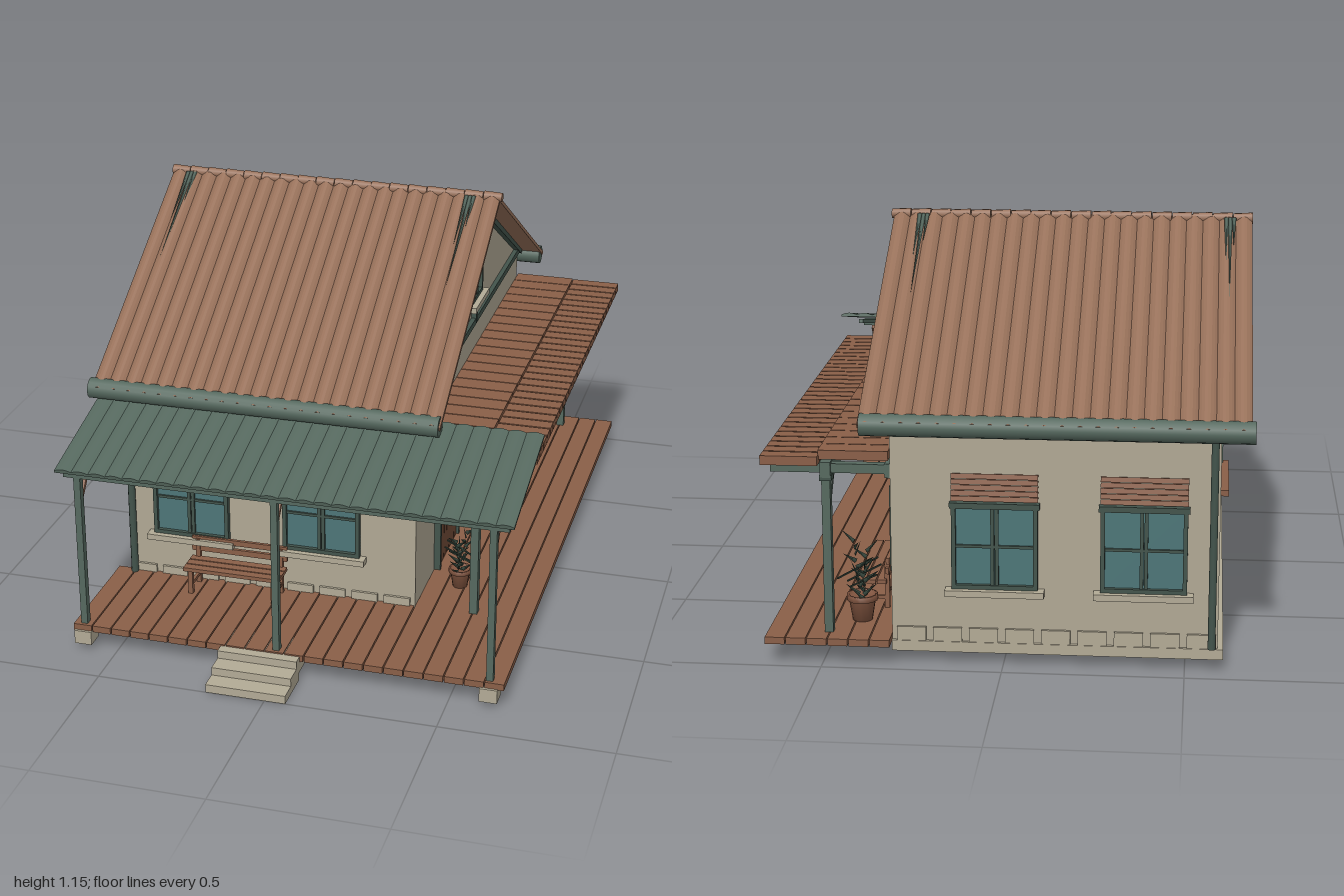
import * as THREE from 'three';

const mat = (name, color) => {
  const m = new THREE.MeshStandardMaterial({ color, side: THREE.DoubleSide });
  m.name = name;
  return m;
};
const M = {
  tile: mat('roof tile brown', 0x98715a),
  wood: mat('wood brown', 0x8a5f48),
  door: mat('door brown', 0x704a36),
  wall: mat('plaster beige', 0xb0a894),
  stone: mat('stone beige', 0xb3ab96),
  green: mat('sheet green', 0x56695f),
  trim: mat('trim dark green', 0x43544c),
  glass: mat('glass teal', 0x4d7678),
  leaf: mat('leaf green', 0x36463c),
  pot: mat('pot terracotta', 0x80543f),
};

const add = (p, name, m, geo) => {
  const o = new THREE.Mesh(geo, m);
  o.name = name;
  p.add(o);
  return o;
};
const sub = (p, name, x = 0, y = 0, z = 0, ry = 0) => {
  const g = new THREE.Group();
  g.name = name;
  g.position.set(x, y, z);
  g.rotation.y = ry;
  p.add(g);
  return g;
};
// Box given by its ranges on each axis
const box = (p, name, m, x0, x1, y0, y1, z0, z1) => {
  const o = add(p, name, m, new THREE.BoxGeometry(x1 - x0, y1 - y0, z1 - z0));
  o.position.set((x0 + x1) / 2, (y0 + y1) / 2, (z0 + z1) / 2);
  return o;
};
// Square bar between two points
const strut = (p, name, m, a, b, w) => {
  const A = new THREE.Vector3(...a), B = new THREE.Vector3(...b);
  const o = add(p, name, m, new THREE.BoxGeometry(w, w, A.distanceTo(B)));
  o.position.copy(A).add(B).multiplyScalar(0.5);
  o.lookAt(B);
  return o;
};
// Ribbed sheet, centred on x, running from z = 0 to z = len
const ribbed = (width, len, ribs, h, t) => {
  const s = new THREE.Shape(), n = ribs * 6;
  s.moveTo(-width / 2, -t);
  for (let i = 0; i <= n; i++)
    s.lineTo(-width / 2 + width * i / n, h * Math.abs(Math.sin(Math.PI * i / 6)));
  s.lineTo(width / 2, -t);
  return new THREE.ExtrudeGeometry(s, { depth: len, bevelEnabled: false });
};

// Framed window facing local +z, split in two leaves
function addWindow(p, w, h, y0, bar = true) {
  const a = w / 2, y1 = y0 + h, f = 0.012;
  box(p, 'glass', M.glass, -a, a, y0, y1, 0, 0.006);
  for (const s of [-1, 1]) {
    box(p, 'windowJamb', M.trim, s * (a - f / 2) - f / 2, s * (a - f / 2) + f / 2, y0, y1, 0, 0.018);
    box(p, 'windowMullion', M.trim, s * 0.006 - 0.005, s * 0.006 + 0.005, y0, y1, 0, 0.014);
  }
  box(p, 'windowHead', M.trim, -a - 0.005, a + 0.005, y1 - f, y1 + 0.004, 0, 0.02);
  box(p, 'windowFoot', M.trim, -a, a, y0, y0 + f, 0, 0.018);
  if (bar) box(p, 'windowBar', M.trim, -a, a, y0 + h / 2 - 0.004, y0 + h / 2 + 0.004, 0, 0.012);
  box(p, 'windowSill', M.stone, -a - 0.018, a + 0.018, y0 - 0.018, y0, 0, 0.035);
}
// Bench with its back towards local -z
function addBench(p, w) {
  const a = w / 2;
  for (let i = 0; i < 3; i++)
    box(p, 'benchSeat', M.wood, -a, a, 0.155, 0.167, 0.02 + i * 0.03, 0.046 + i * 0.03);
  box(p, 'benchBack', M.wood, -a, a, 0.185, 0.203, 0.012, 0.022);
  box(p, 'benchBack', M.wood, -a, a, 0.215, 0.232, 0.01, 0.02);
  for (const s of [-1, 1]) {
    const x = s * (a - 0.02);
    box(p, 'benchLeg', M.wood, x - 0.007, x + 0.007, 0.08, 0.16, 0.088, 0.102);
    box(p, 'benchLeg', M.wood, x - 0.007, x + 0.007, 0.08, 0.225, 0.012, 0.026);
    box(p, 'benchRail', M.wood, x - 0.005, x + 0.005, 0.105, 0.115, 0.02, 0.095);
  }
}
// Potted plant with spiralling leaves
function addPlant(p, s, height) {
  const prof = [[0, 0], [0.026, 0], [0.035, 0.055], [0.041, 0.055], [0.041, 0.07], [0.034, 0.07], [0.032, 0.06], [0, 0.06]];
  add(p, 'pot', M.pot, new THREE.LatheGeometry(prof.map(([x, y]) => new THREE.Vector2(x * s, y * s)), 14));
  for (let k = 0; k < 3; k++) {
    const a = k * 2.1, top = height * (1 - k * 0.14), lean = 0.02 * s;
    strut(p, 'stem', M.leaf, [0, 0.05 * s, 0], [Math.cos(a) * lean, top, Math.sin(a) * lean], 0.004);
    for (let i = 0; i < 9; i++) {
      const t = 0.38 + 0.62 * i / 8, b = a + i * 2.4;
      const g = new THREE.ConeGeometry(0.007, 0.045 * s, 4);
      g.scale(1, 1, 0.35);
      g.translate(0, 0.022 * s, 0);
      const l = add(p, 'leaf', M.leaf, g);
      l.position.set(Math.cos(a) * lean * t, top * t - 0.02, Math.sin(a) * lean * t);
      l.rotation.set(0, -b, -0.95, 'YXZ');
    }
  }
}

export function createModel() {
  const root = new THREE.Group();
  root.name = 'house';
  const CX = -0.14, RZ = -0.22, SLOPE = Math.PI / 6;

  // Walls with gables and plinth
  const gable = new THREE.Shape([[-0.71, 0.06], [0.71, 0.06], [0.71, 0.715], [0, 1.12], [-0.71, 0.715]].map(q => new THREE.Vector2(...q)));
  const walls = add(root, 'walls', M.wall, new THREE.ExtrudeGeometry(gable, { depth: 0.9, bevelEnabled: false }));
  walls.rotation.y = Math.PI / 2;
  walls.position.set(-0.59, 0, RZ);
  box(root, 'plinth', M.stone, -0.605, 0.31, 0.035, 0.065, -0.94, 0.505);
  for (let i = 0; i < 9; i++) for (const z of [0.49, -0.93])
    box(root, 'plinthStone', M.stone, -0.585 + i * 0.1, -0.505 + i * 0.1, 0.065, 0.105, z - 0.008, z + 0.008);

  // Gable trusses
  for (const x of [-0.595, 0.315]) {
    strut(root, 'gableTie', M.trim, [x, 0.725, 0.47], [x, 0.725, -0.91], 0.02);
    strut(root, 'kingPost', M.trim, [x, 0.72, RZ], [x, 1.11, RZ], 0.022);
    for (const s of [-1, 1]) strut(root, 'gableRafter', M.trim, [x, 0.715, RZ + s * 0.705], [x, 1.108, RZ + s * 0.01], 0.025);
  }

  // Main roof: two slopes with gutters and weathering streaks
  for (const s of [0, 1]) {
    const side = sub(root, 'roofSlope', CX, 1.137, RZ, s * Math.PI);
    const pitch = sub(side, 'roofPitch');
    pitch.rotation.x = SLOPE;
    add(pitch, 'roofTiles', M.tile, ribbed(1.06, 0.885, 22, 0.013, 0.012));
    for (const x of [-0.465, 0.44]) for (let k = 0; k < 3; k++) {
      const g = new THREE.ConeGeometry(0.007, [0.2, 0.36, 0.13][k], 4);
      g.scale(1, 1, 0.4);
      const o = add(pitch, 'streak', M.green, g);
      o.rotation.x = Math.PI / 2;
      o.position.set((s ? -x : x) + (k - 1) * 0.011, 0.013, 0.015 + [0.1, 0.18, 0.065][k]);
    }
    const gut = add(side, 'gutter', M.green, new THREE.CylinderGeometry(0.031, 0.031, 1.065, 14));
    gut.rotation.z = Math.PI / 2;
    gut.position.set(s ? 0.007 : -0.007, -0.447, 0.745);
  }
  for (let i = 0; i < 18; i++) {
    const c = add(root, 'ridgeTile', M.tile, new THREE.CylinderGeometry(0.017, 0.014, 0.057, 10));
    c.rotation.z = Math.PI / 2;
    c.position.set(-0.643 + i * 0.0595, 1.137, RZ);
  }
  for (const z of [0.505, -0.95]) {
    const d = add(root, 'downpipe', M.trim, new THREE.CylinderGeometry(0.011, 0.011, 0.61, 10));
    d.position.set(-0.573, 0.375, z);
  }

  // Front and back windows with slatted blinds
  for (const [z, ry] of [[0.49, 0], [-0.93, Math.PI]]) for (const x of [-0.385, 0.023]) {
    const w = sub(root, 'window', x, 0, z, ry);
    addWindow(w, 0.237, 0.243, 0.223);
    for (let i = 0; i < 5; i++) {
      const slat = box(w, 'blindSlat', M.wood, -0.119, 0.119, 0.473 + i * 0.016, 0.487 + i * 0.016, 0.002, 0.014);
      slat.rotation.x = -0.25;
    }
  }

  // Side window with louvred shutters
  const sw = sub(root, 'sideWindow', 0.31, 0, -0.52, Math.PI / 2);
  addWindow(sw, 0.32, 0.24, 0.23);
  for (const s of [-1, 1]) {
    const sh = sub(sw, 'shutter', s * 0.228, 0, 0.004);
    for (const e of [-1, 1]) box(sh, 'shutterStile', M.trim, e * 0.05 - 0.006, e * 0.05 + 0.006, 0.22, 0.468, 0, 0.018);
    for (let i = 0; i < 10; i++)
      box(sh, 'louvre', M.green, -0.05, 0.05, 0.222 + i * 0.0247, 0.24 + i * 0.0247, 0, 0.013).rotation.x = -0.3;
  }
  addWindow(sub(root, 'atticWindow', 0.31, 0, -0.215, Math.PI / 2), 0.152, 0.11, 0.803);

  // Plank door
  const door = sub(root, 'door', 0.31, 0, 0.12, Math.PI / 2);
  for (let i = 0; i < 7; i++)
    box(door, 'doorPlank', M.door, -0.119 + i * 0.034, -0.087 + i * 0.034, 0.08, 0.51, 0, 0.012);
  for (const s of [-1, 1]) box(door, 'doorJamb', M.trim, s * 0.126 - 0.007, s * 0.126 + 0.007, 0.08, 0.523, 0, 0.02);
  box(door, 'doorHead', M.trim, -0.133, 0.133, 0.508, 0.523, 0, 0.021);
  box(door, 'doorHandle', M.trim, 0.088, 0.098, 0.26, 0.305, 0.012, 0.026);

  // Wall lantern
  const lamp = sub(root, 'lantern', 0.31, 0, 0.35, Math.PI / 2);
  box(lamp, 'lanternArm', M.trim, -0.004, 0.004, 0.43, 0.438, 0, 0.036);
  box(lamp, 'lanternTop', M.trim, -0.022, 0.022, 0.42, 0.43, 0.014, 0.056);
  box(lamp, 'lanternGlass', M.stone, -0.013, 0.013, 0.385, 0.42, 0.022, 0.048);
  box(lamp, 'lanternBase', M.trim, -0.018, 0.018, 0.374, 0.385, 0.017, 0.053);

  // Deck boards
  for (let i = 0; i < 16; i++) {
    const x = -0.63 + i * 0.0588;
    box(root, 'frontDeckBoard', M.wood, x, x + 0.055, 0.06, 0.08, 0.49, 0.86);
  }
  for (let i = 0; i < 6; i++) {
    const x = 0.311 + i * 0.0585;
    box(root, 'sideDeckBoard', M.wood, x, x + 0.055, 0.06, 0.08, -0.985, 0.86);
  }

  // Front and side steps
  for (let i = 0; i < 3; i++)
    box(root, 'frontStep', M.stone, -0.175, 0.062, 0.003 + i * 0.024, 0.028 + i * 0.024, 0.865 - i * 0.053, 1 - i * 0.055);
  for (let i = 0; i < 3; i++)
    box(root, 'sideStep', M.stone, 0.59 - i * 0.045, 0.64 - i * 0.045, 0.004 + i * 0.016, 0.022 + i * 0.016, -0.03, 0.287);

  // Front porch: footings, posts, beam, braces, sheet roof
  for (const x of [-0.6, -0.012, 0.615]) {
    box(root, 'footing', M.stone, x - 0.026, x + 0.026, 0.02, 0.062, 0.812, 0.868);
    box(root, 'frontPost', M.green, x - 0.01, x + 0.01, 0.06, 0.56, 0.828, 0.85);
    strut(root, 'frontBrace', M.wood, [x, 0.47, 0.835], [x, 0.565, 0.755], 0.012);
    strut(root, 'porchRafter', M.green, [x, 0.563, 0.85], [x, 0.645, 0.49], 0.014);
  }
  box(root, 'frontBeam', M.green, -0.64, 0.66, 0.553, 0.574, 0.828, 0.852);
  const porch = add(root, 'porchRoof', M.green, ribbed(1.335, 0.42, 26, 0.006, 0.007));
  porch.position.set(0.008, 0.673, 0.46);
  porch.rotation.x = Math.atan2(0.095, 0.41);

  // Side porch: posts, beam, braces and two rows of roof boards
  for (const [z, s] of [[0.478, -1], [-0.918, 1]]) {
    box(root, 'sidePost', M.green, 0.475, 0.499, 0.08, 0.54, z - 0.014, z + 0.014);
    box(root, 'postCap', M.trim, 0.47, 0.504, 0.52, 0.535, z - 0.019, z + 0.019);
    strut(root, 'sideBrace', M.green, [0.487, 0.43, z], [0.487, 0.53, z + s * 0.085], 0.016);
    strut(root, 'crossBeam', M.green, [0.31, 0.555, z], [0.64, 0.555, z], 0.026);
  }
  box(root, 'sideBeam', M.green, 0.472, 0.502, 0.53, 0.574, -0.94, 0.495);
  box(root, 'wallPlate', M.green, 0.31, 0.325, 0.53, 0.57, -0.93, 0.49);
  for (let i = 0; i < 21; i++)
    box(root, 'innerRoofBoard', M.wood, 0.31, 0.502, 0.588, 0.614, -0.96 + i * 0.068, -0.896 + i * 0.068);
  for (let i = 0; i < 29; i++)
    box(root, 'outerRoofBoard', M.wood, 0.5, 0.657, 0.576, 0.602, -0.985 + i * 0.05, -0.941 + i * 0.05);

  // Benches and plants
  addBench(sub(root, 'frontBench', -0.23, 0, 0.495), 0.3);
  addBench(sub(root, 'sideBench', 0.335, 0, -0.56, Math.PI / 2), 0.355);
  addPlant(sub(root, 'smallPlant', 0.41, 0.08, 0.33), 0.85, 0.2);
  addPlant(sub(root, 'largePlant', 0.41, 0.08, -0.82), 1.08, 0.25);
  return root;
}
